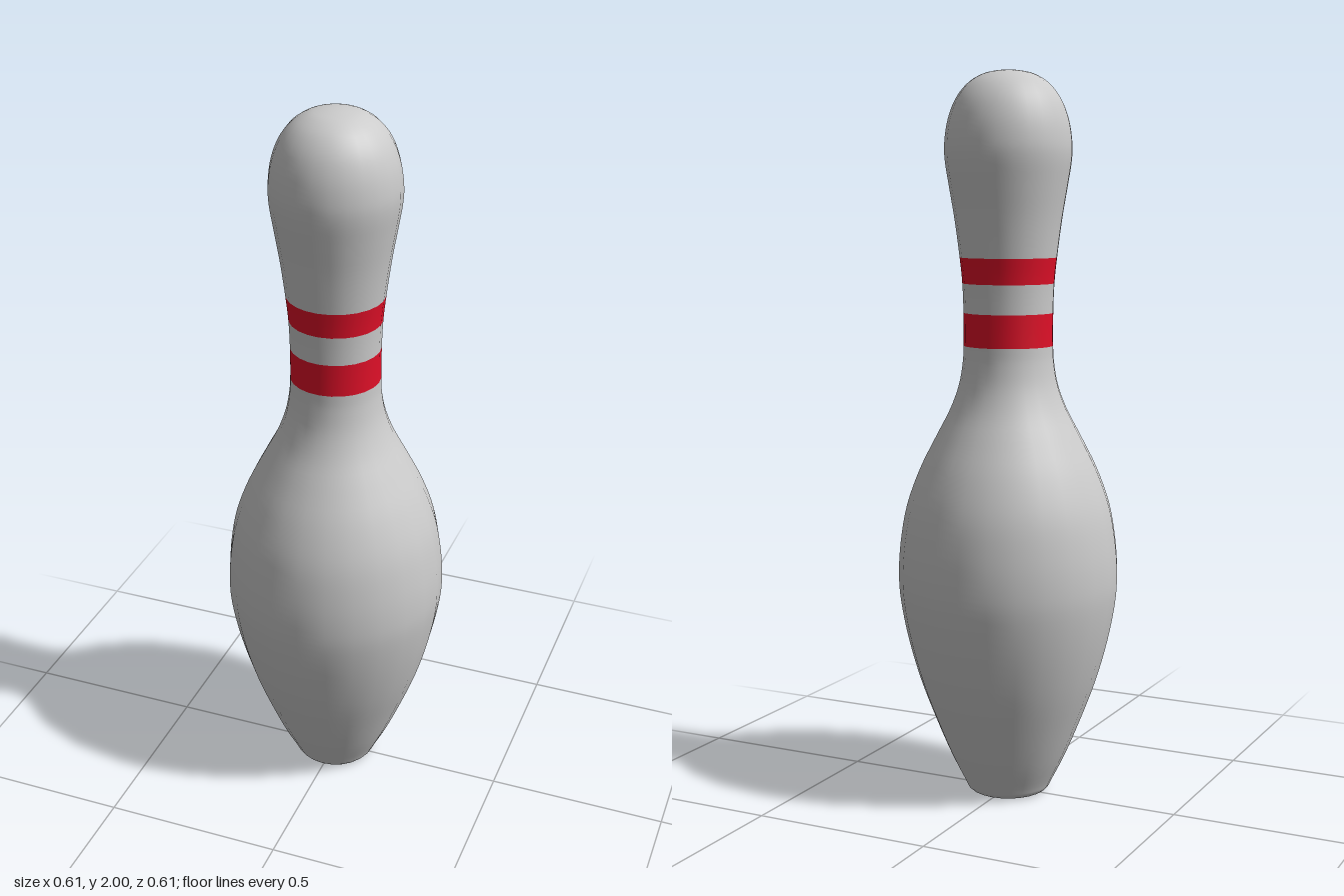
import * as THREE from 'three';

// Outline [radius, height], from the base centre to the crown; the last point only steers the crown's tangent
const OUTLINE = [
  [0, 0.01], [0.06, 0.004], [0.095, 0.002], [0.113, 0.012], [0.125, 0.035],
  [0.16, 0.105], [0.2, 0.2], [0.245, 0.32], [0.279, 0.44], [0.3, 0.55], [0.305, 0.63], [0.299, 0.72],
  [0.281, 0.82], [0.245, 0.92], [0.2, 1.01], [0.161, 1.085], [0.137, 1.15], [0.126, 1.21],
  [0.123, 1.26], [0.123, 1.35], [0.126, 1.43], [0.133, 1.5],
  [0.146, 1.6], [0.161, 1.69], [0.172, 1.76], [0.173, 1.81], [0.164, 1.868], [0.144, 1.921],
  [0.113, 1.962], [0.075, 1.987], [0.038, 1.997], [0, 2], [-0.038, 1.997],
];
const SIDES = 24;

export function createModel() {
  const group = new THREE.Group();
  group.name = 'bowlingPin';

  const white = new THREE.MeshStandardMaterial({ color: 0xcccccc });
  const red = new THREE.MeshStandardMaterial({ color: 0xe01028 });
  const curve = new THREE.SplineCurve(OUTLINE.map(([r, y]) => new THREE.Vector2(r, y)));

  // Revolves the stretch of outline between two of its points
  const addSection = (name, from, to, material) => {
    const steps = (to - from) * 4;
    const points = [];
    for (let i = 0; i <= steps; i++) {
      const p = curve.getPoint((from + (i / steps) * (to - from)) / (OUTLINE.length - 1));
      points.push(new THREE.Vector2(Math.max(p.x, 0), Math.max(p.y, 0)));
    }
    const mesh = new THREE.Mesh(new THREE.LatheGeometry(points, SIDES, Math.PI / 2), material);
    mesh.name = name;
    group.add(mesh);
  };

  const at = (height) => OUTLINE.findIndex(([, y]) => y === height);

  addSection('body', 0, at(1.26), white);
  addSection('lowerStripe', at(1.26), at(1.35), red);
  addSection('neck', at(1.35), at(1.43), white);
  addSection('upperStripe', at(1.43), at(1.5), red);
  addSection('head', at(1.5), at(2), white);

  return group;
}
